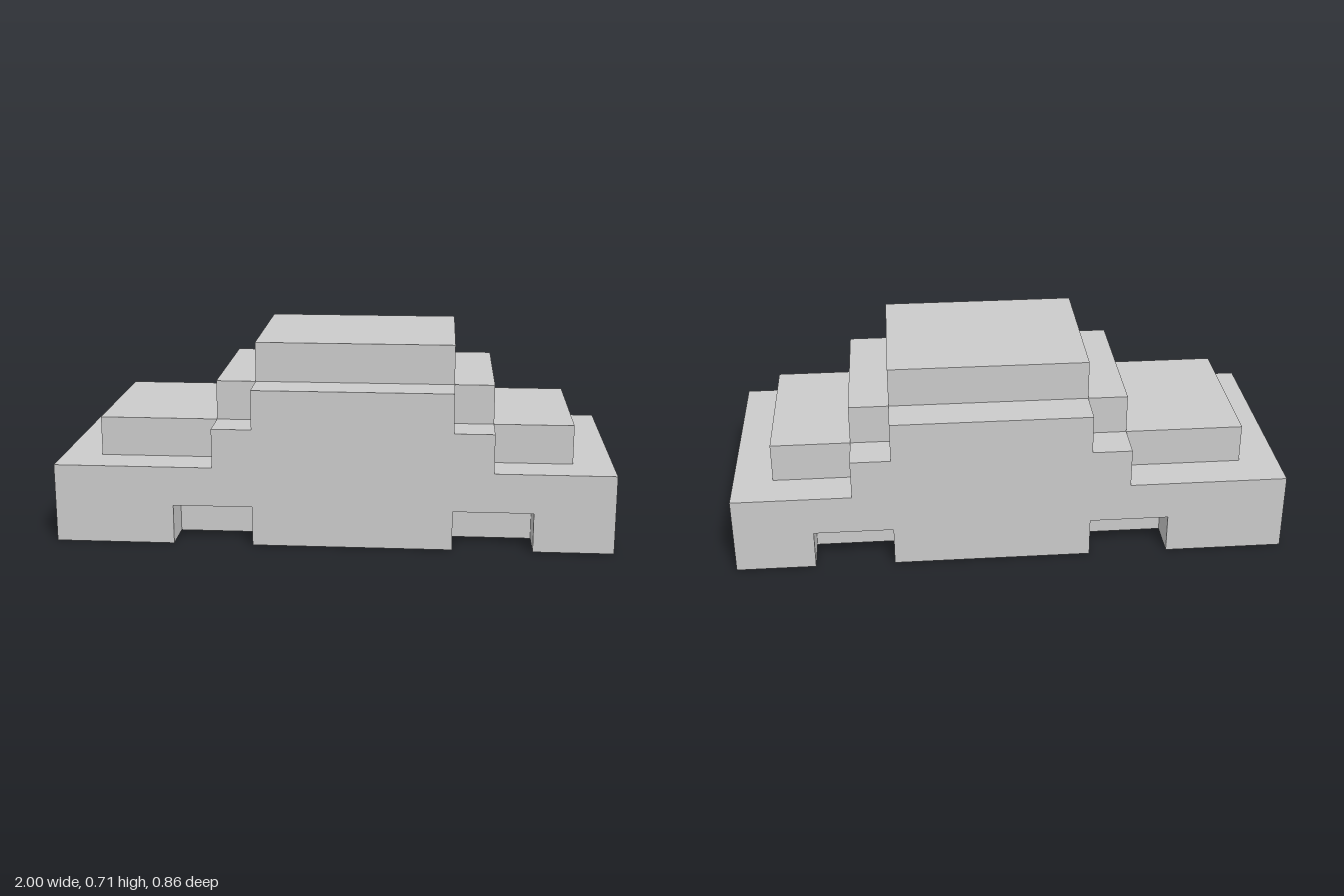
import * as THREE from 'three';

const U = 1 / 7; // one block step

// Extrude a stepped outline (in block steps) between two z planes
function slab(name, points, z0, z1, material) {
  const shape = new THREE.Shape(points.map(([x, y]) => new THREE.Vector2(x * U, y * U)));
  const geometry = new THREE.ExtrudeGeometry(shape, { depth: (z1 - z0) * U, bevelEnabled: false });
  geometry.translate(0, 0, z0 * U);
  const mesh = new THREE.Mesh(geometry, material);
  mesh.name = name;
  return mesh;
}

export function createModel() {
  const group = new THREE.Group();
  group.name = 'blockCar';
  const grey = new THREE.MeshStandardMaterial({ color: 0xcccccc, flatShading: true });

  // Central body: chassis, raised hood and trunk, cabin and roof
  const core = [
    [-7, 0], [7, 0], [7, 2], [6, 2], [6, 3], [4, 3], [4, 4], [3, 4], [3, 5],
    [-2, 5], [-2, 4], [-3, 4], [-3, 3], [-6, 3], [-6, 2], [-7, 2],
  ];
  group.add(slab('bodyCore', core, -2, 2, grey));

  // Side panels: wheel recesses below, stepped cabin sides above
  const side = [
    [-7, 0], [-4, 0], [-4, 1], [-2, 1], [-2, 0], [3, 0], [3, 1], [5, 1], [5, 0], [7, 0],
    [7, 2], [4, 2], [4, 3], [3, 3], [3, 4], [-2, 4], [-2, 3], [-3, 3], [-3, 2], [-7, 2],
  ];
  group.add(slab('frontSidePanel', side, 2, 3, grey));
  group.add(slab('backSidePanel', side, -3, -2, grey));

  return group;
}
